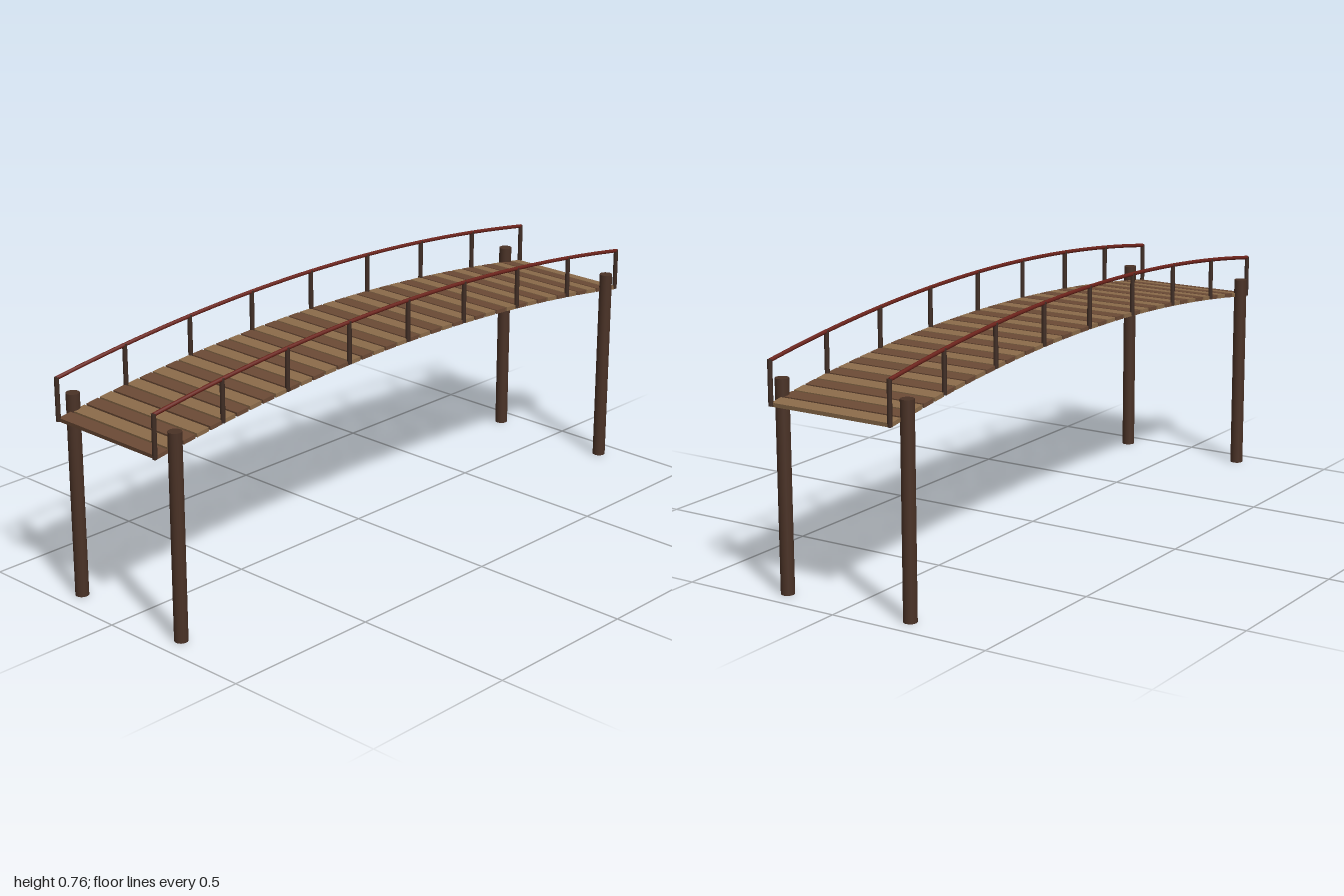
import * as THREE from 'three';

const paint = (color) => new THREE.MeshStandardMaterial({ color });

// Arched walkway: height falls off as a parabola along z
const SAG = 0.076;
const arch = (z, crown) => crown - SAG * z * z;

export function createModel() {
  const group = new THREE.Group();
  const lightWood = paint(0x8b6b4a);
  const darkWood = paint(0x6b4a35);
  const pillarWood = paint(0x4a3226);
  const postWood = paint(0x402d24);
  const railRed = paint(0x6b221a);

  const add = (name, geometry, material, x, y, z) => {
    const mesh = new THREE.Mesh(geometry, material);
    mesh.name = name;
    mesh.position.set(x, y, z);
    group.add(mesh);
    return mesh;
  };

  // Deck planks, tilted to follow the arch, in alternating tones
  const plankCount = 40;
  const plankGeo = new THREE.BoxGeometry(0.4, 0.012, 0.043);
  for (let i = 0; i < plankCount; i++) {
    const z = -0.969 + (1.938 * i) / (plankCount - 1);
    const plank = add('plank', plankGeo, i % 2 ? darkWood : lightWood, 0, arch(z, 0.633), z);
    plank.rotation.x = Math.atan(2 * SAG * z);
  }

  // Support pillars at the four corners
  const pillarGeo = new THREE.CylinderGeometry(0.02, 0.02, 0.62, 16);
  for (const x of [-0.21, 0.21]) {
    for (const z of [-0.93, 0.93]) add('pillar', pillarGeo, pillarWood, x, 0.31, z);
  }

  // Handrails with nine posts on each side
  const postGeo = new THREE.CylinderGeometry(0.007, 0.007, 0.13, 8);
  const railPoints = [];
  for (let i = 0; i <= 16; i++) {
    const z = -0.993 + (1.986 * i) / 16;
    railPoints.push(new THREE.Vector3(0, arch(z, 0.757), z));
  }
  const railGeo = new THREE.TubeGeometry(new THREE.CatmullRomCurve3(railPoints), 40, 0.006, 8);
  const capGeo = new THREE.CircleGeometry(0.006, 8);
  for (const x of [-0.199, 0.199]) {
    for (let i = 0; i < 9; i++) {
      const z = -0.993 + (1.986 * i) / 8;
      add('railPost', postGeo, postWood, x, arch(z, 0.695), z);
    }
    add('handrail', railGeo, railRed, x, 0, 0);
    // Closed rail ends
    for (const s of [-1, 1]) {
      const cap = add('railEnd', capGeo, railRed, x, arch(0.993, 0.757), s * 0.993);
      cap.rotation.y = s > 0 ? 0 : Math.PI;
    }
  }

  return group;
}
